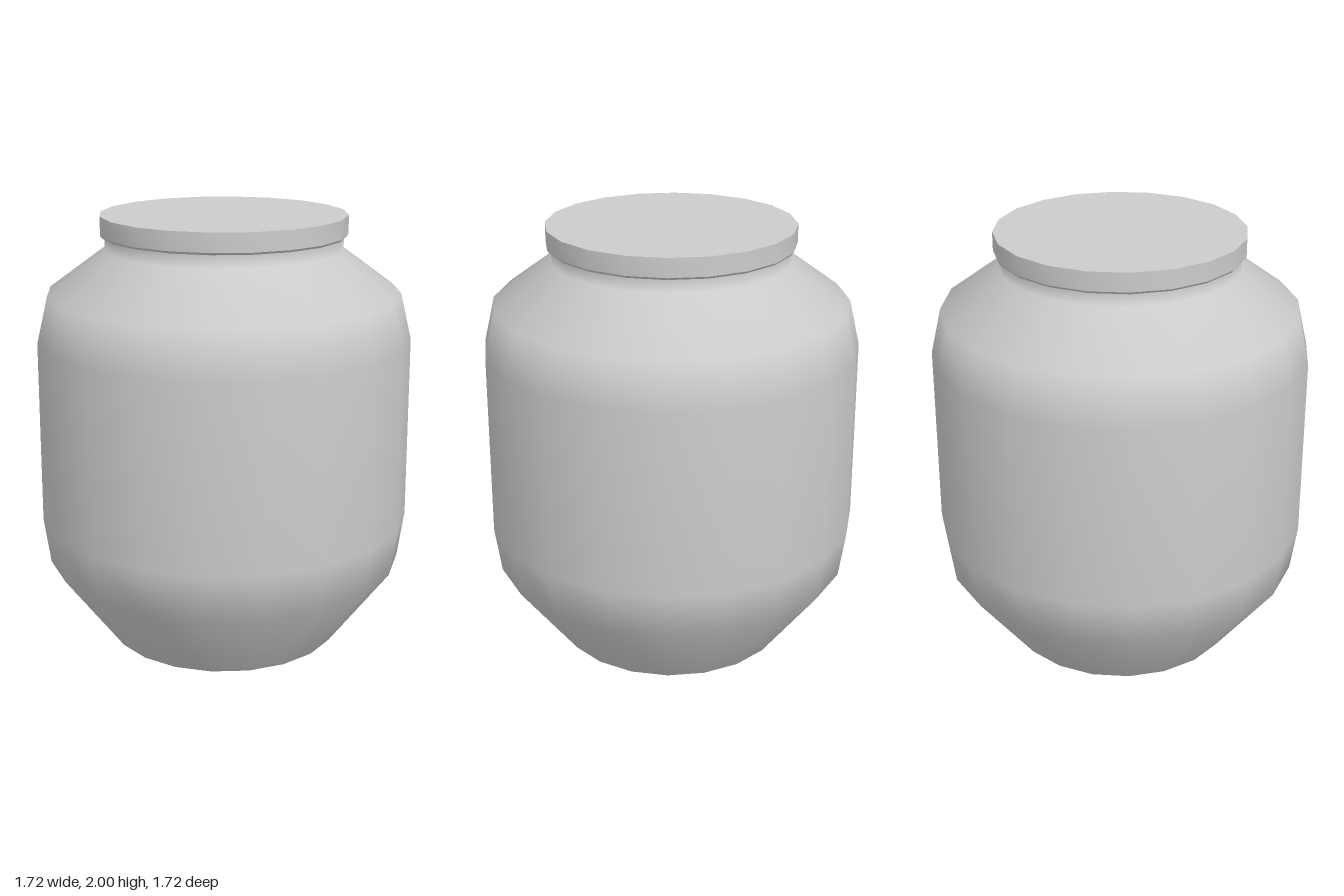
import * as THREE from 'three';
import { toCreasedNormals } from 'three/addons/utils/BufferGeometryUtils.js';

const SIDES = 20;

export function createModel() {
  const group = new THREE.Group();
  group.name = 'jar';
  const material = new THREE.MeshStandardMaterial({ color: 0xcccccc });

  const add = (name, geometry) => {
    const mesh = new THREE.Mesh(geometry, material);
    mesh.name = name;
    group.add(mesh);
    return mesh;
  };
  const lathe = (profile) =>
    new THREE.LatheGeometry(profile.map(([r, y]) => new THREE.Vector2(r, y)), SIDES);

  // Smooth belly, sloping shoulder and short neck
  add('body', lathe([
    [0.545, 0], [0.83, 0.385], [0.86, 0.6], [0.855, 1.44],
    [0.805, 1.65], [0.54, 1.845], [0.54, 1.91],
  ]));

  // Flat base
  const base = add('base', new THREE.CircleGeometry(0.545, SIDES));
  base.rotation.x = Math.PI / 2;

  // Lid rim with a slightly chamfered lower edge
  add('lidRim', toCreasedNormals(lathe([
    [0.53, 1.905], [0.552, 1.905], [0.56, 1.915], [0.56, 2],
  ]), 0.6));

  // Flat lid top
  const lidTop = add('lidTop', new THREE.CircleGeometry(0.56, SIDES));
  lidTop.rotation.x = -Math.PI / 2;
  lidTop.position.y = 2;

  return group;
}
